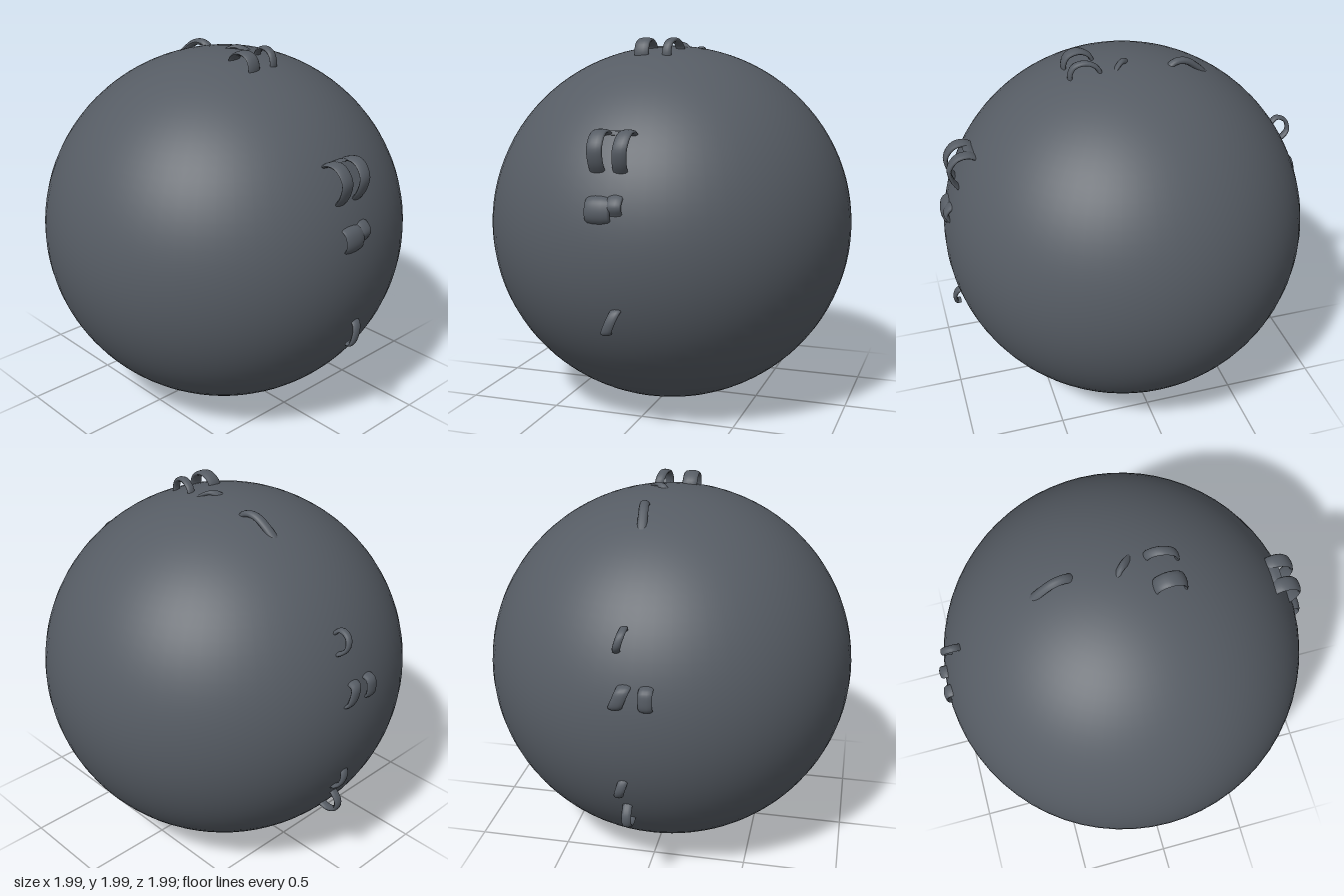
import * as THREE from 'three';

const slate = new THREE.MeshStandardMaterial({ color: 0x565c64 });
slate.name = 'slate grey';

// Flattened band following a planar arch; width runs along z and slant shears it in z
function band(name, points, z, width, thickness = 0.024, slant = [0, 0]) {
  const curve = new THREE.CatmullRomCurve3(points.map(([x, y]) => new THREE.Vector3(x, y, 0)));
  const geo = new THREE.TubeGeometry(curve, 24, thickness / 2, 10);
  geo.scale(1, 1, width / thickness);
  const mid = points[Math.floor(points.length / 2)];
  const pos = geo.attributes.position;
  for (let i = 0; i < pos.count; i++) {
    const dx = pos.getX(i) - mid[0], dy = pos.getY(i) - mid[1];
    pos.setZ(i, pos.getZ(i) + z + dx * slant[0] + dy * slant[1]);
  }
  geo.computeVertexNormals();
  const mesh = new THREE.Mesh(geo, slate);
  mesh.name = name;
  return mesh;
}

export function createModel() {
  const model = new THREE.Group();
  model.name = 'ballWithLoops';

  // Slightly flattened ball
  const ball = new THREE.Mesh(new THREE.SphereGeometry(1, 64, 48), slate);
  ball.name = 'ball';
  ball.scale.set(0.988, 0.972, 0.995);
  ball.position.y = 0.978;
  model.add(ball);

  // Pair of arches on top
  const topArch = [[0.14, 1.90], [0.155, 1.95], [0.21, 1.98], [0.27, 1.965], [0.293, 1.92], [0.285, 1.85]];
  model.add(band('topArchFront', topArch, 0.068, 0.08));
  model.add(band('topArchBack', topArch, -0.075, 0.05, 0.024, [0.18, 0]));

  // Low bumps on top
  model.add(band('topBump', [[-0.04, 1.91], [0.0, 1.948], [0.02, 1.957], [0.045, 1.948], [0.09, 1.91]],
    -0.065, 0.05, 0.024, [-0.9, 0]));
  model.add(band('topRidge', [[-0.45, 1.81], [-0.38, 1.88], [-0.31, 1.925], [-0.25, 1.925], [-0.2, 1.88]],
    -0.08, 0.05, 0.035, [-0.12, 0]));

  // Large double loop on the left side, joined across its upper end
  const sideArch = [[0.78, 1.52], [0.83, 1.548], [0.89, 1.54], [0.935, 1.48], [0.925, 1.41], [0.88, 1.34]];
  model.add(band('leftLoopFront', sideArch, 0.068, 0.08));
  model.add(band('leftLoopBack', sideArch, -0.06, 0.075, 0.024, [0, -0.1]));
  model.add(band('leftLoopBridge', [[0.79, 1.53], [0.82, 1.541], [0.85, 1.54]], 0.0, 0.14));

  // Bumps lower on the left side
  model.add(band('leftBump', [[0.92, 1.25], [0.965, 1.23], [0.982, 1.19], [0.978, 1.15], [0.94, 1.11]],
    0.04, 0.13, 0.026));
  model.add(band('leftBumpTail', [[0.92, 1.26], [0.96, 1.235], [0.976, 1.205], [0.96, 1.17]],
    -0.04, 0.08, 0.026));
  model.add(band('leftHook', [[0.92, 0.71], [0.955, 0.695], [0.973, 0.65], [0.967, 0.595], [0.945, 0.59]],
    -0.015, 0.055, 0.022, [0, -0.4]));

  // Loops and bumps on the right side
  model.add(band('rightUpperLoop', [[-0.83, 1.47], [-0.87, 1.5], [-0.92, 1.48], [-0.932, 1.43], [-0.90, 1.395], [-0.86, 1.38]],
    -0.075, 0.04, 0.022, [0, 0.3]));
  const rightBump = [[-0.93, 1.24], [-0.975, 1.225], [-0.985, 1.185], [-0.978, 1.14], [-0.94, 1.12]];
  model.add(band('rightBumpFront', rightBump, 0.068, 0.07));
  model.add(band('rightBumpBack', rightBump, -0.06, 0.07, 0.024, [0, 0.4]));
  model.add(band('rightLowerBump', [[-0.91, 0.75], [-0.95, 0.715], [-0.958, 0.67], [-0.935, 0.63], [-0.88, 0.61]],
    -0.07, 0.05, 0.024, [0, 0.3]));
  model.add(band('rightLowerLoop', [[-0.83, 0.57], [-0.88, 0.55], [-0.918, 0.5], [-0.91, 0.45], [-0.86, 0.425], [-0.79, 0.44]],
    -0.05, 0.05));

  return model;
}
